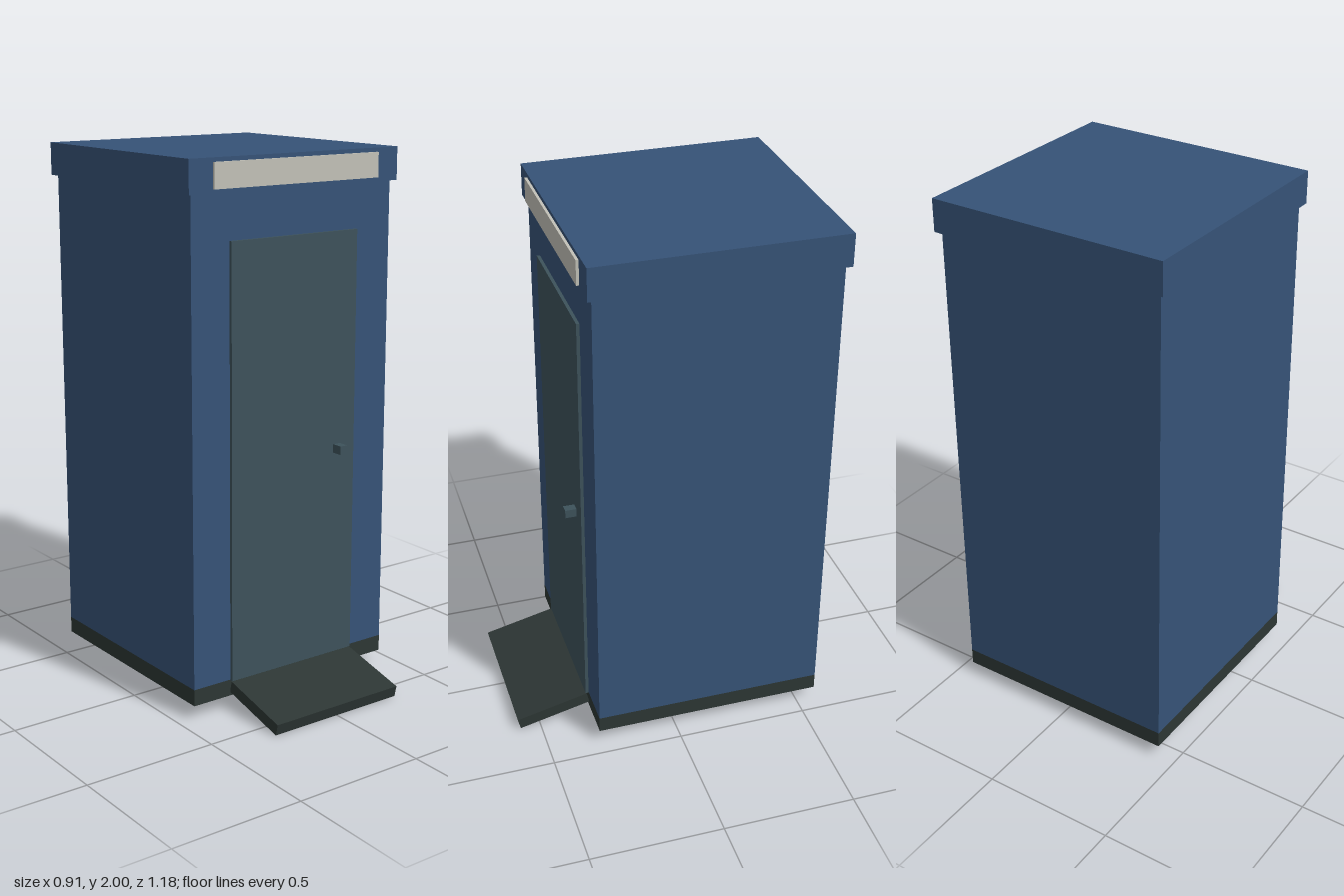
import * as THREE from 'three';

const paint = (name, color) => {
  const m = new THREE.MeshStandardMaterial({ color });
  m.name = name;
  return m;
};

export function createModel() {
  const blue = paint('blue panel', 0x365377);
  const slate = paint('slate door', 0x3d525b);
  const charcoal = paint('charcoal base', 0x2d3634);
  const cream = paint('pale sign', 0xc2c1b8);

  const model = new THREE.Group();
  model.name = 'cabin';

  // Box given by its min and max corners
  const box = (name, material, [x0, y0, z0], [x1, y1, z1]) => {
    const mesh = new THREE.Mesh(new THREE.BoxGeometry(x1 - x0, y1 - y0, z1 - z0), material);
    mesh.position.set((x0 + x1) / 2, (y0 + y1) / 2, (z0 + z1) / 2);
    mesh.name = name;
    model.add(mesh);
    return mesh;
  };

  // Cabin shell: plinth, walls and overhanging roof
  box('base', charcoal, [-0.437, 0.053, -0.57], [0.437, 0.115, 0.305]);
  box('walls', blue, [-0.437, 0.115, -0.57], [0.437, 1.88, 0.305]);
  box('roof', blue, [-0.455, 1.88, -0.588], [0.455, 2, 0.323]);

  // Front fittings
  box('door', slate, [-0.278, 0.112, 0.305], [0.278, 1.715, 0.317]);
  box('doorKnob', slate, [0.181, 0.899, 0.317], [0.213, 0.931, 0.359]);
  box('signPanel', cream, [-0.358, 1.895, 0.323], [0.358, 1.985, 0.333]);

  // Entrance ramp sloping down to the ground
  const ramp = box('ramp', charcoal, [-0.278, 0.033, 0.304], [0.278, 0.077, 0.587]);
  ramp.rotation.x = 0.235;

  return model;
}
